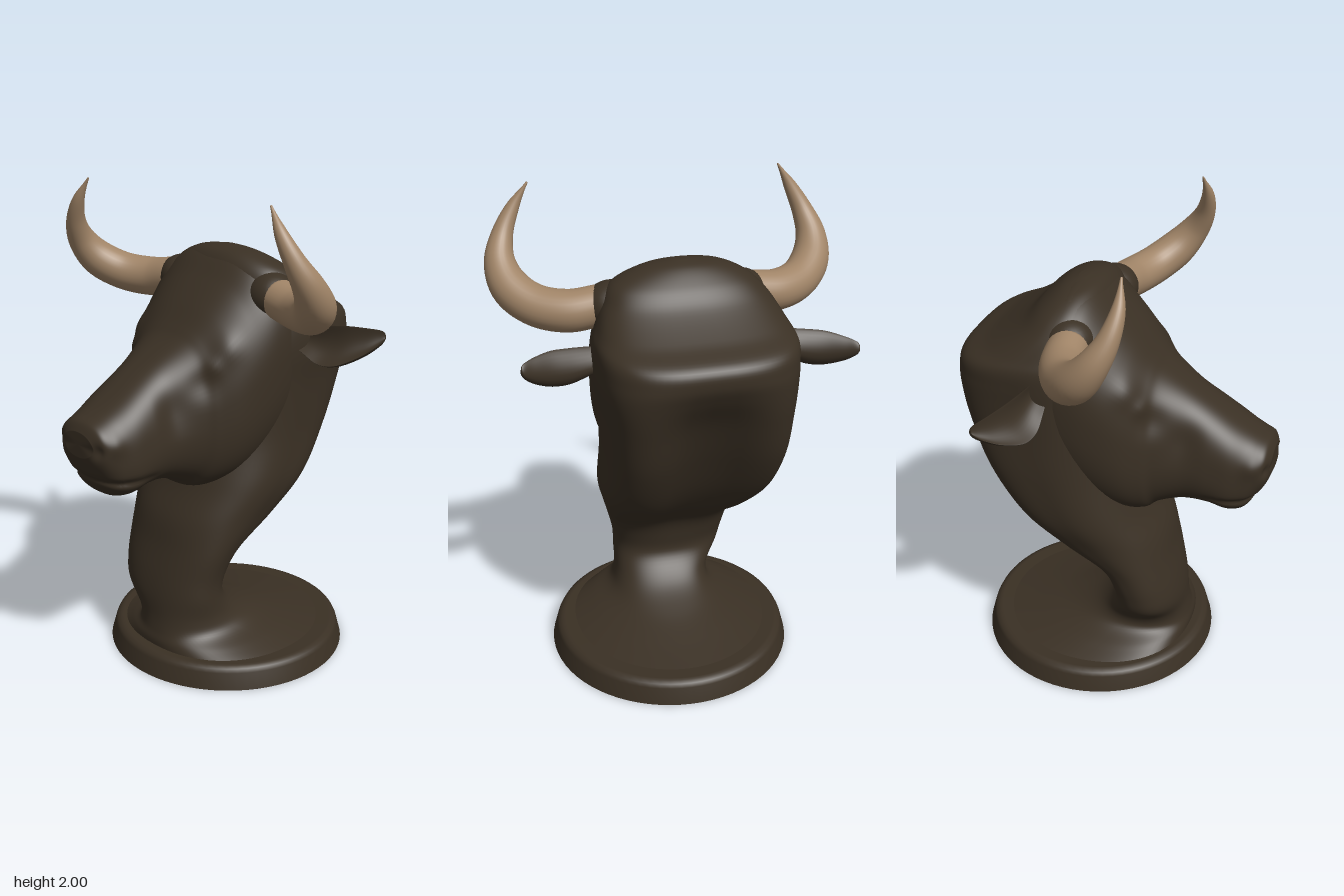
import * as THREE from 'three';

const hide = new THREE.MeshStandardMaterial({ color: 0x3a3024 });
hide.name = 'dark brown hide';
const hornMat = new THREE.MeshStandardMaterial({ color: 0xa08467 });
hornMat.name = 'tan horn';

// Smoothly samples a table of section values at t in 0..1
function sample(table, t) {
  const f = t * (table.length - 1);
  const i = Math.min(Math.floor(f), table.length - 2), u = f - i;
  const row = k => table[Math.max(0, Math.min(table.length - 1, k))];
  return table[i].map((b, k) => {
    const a = row(i - 1)[k], c = row(i + 1)[k], d = row(i + 2)[k];
    return b + 0.5 * u * (c - a + u * (2 * a - 5 * b + 4 * c - d + u * (3 * (b - c) + d - a)));
  });
}

// Skins closed rings point(t, angle) and caps both ends
function loft(rings, sides, point) {
  const pos = [], idx = [];
  for (let i = 0; i <= rings; i++) {
    for (let j = 0; j < sides; j++) pos.push(...point(i / rings, (j / sides) * Math.PI * 2));
  }
  for (let i = 0; i < rings; i++) {
    for (let j = 0; j < sides; j++) {
      const k = (j + 1) % sides, a = i * sides + j, b = i * sides + k;
      idx.push(a, b, a + sides, b, b + sides, a + sides);
    }
  }
  for (const end of [0, rings]) {
    const start = end * sides, centre = pos.length / 3, m = [0, 0, 0];
    for (let j = 0; j < sides; j++) for (let k = 0; k < 3; k++) m[k] += pos[(start + j) * 3 + k] / sides;
    pos.push(...m);
    for (let j = 0; j < sides; j++) {
      const a = start + j, b = start + (j + 1) % sides;
      idx.push(...(end ? [centre, a, b] : [centre, b, a]));
    }
  }
  const g = new THREE.BufferGeometry();
  g.setAttribute('position', new THREE.Float32BufferAttribute(pos, 3));
  g.setIndex(idx);
  g.computeVertexNormals();
  return g;
}

const power = (v, e) => Math.sign(v) * Math.pow(Math.abs(v), e);
const bell = (v, w) => Math.exp(-(v * v) / (w * w));

// Neck levels: y, right x, left x, front z, back z, hollow of the back, back squareness
const NECK = [
  [0.085, -0.43, 0.47, 0.31, -0.59, 0, 1],
  [0.12, -0.31, 0.35, 0.31, -0.40, 0, 1],
  [0.16, -0.21, 0.25, 0.30, -0.24, 0, 1],
  [0.22, -0.20, 0.215, 0.29, -0.10, 0, 0.9],
  [0.31, -0.265, 0.21, 0.285, -0.01, 0, 0.85],
  [0.40, -0.287, 0.215, 0.27, -0.01, 0, 0.8],
  [0.52, -0.305, 0.245, 0.24, -0.07, 0.015, 0.75],
  [0.65, -0.34, 0.285, 0.21, -0.25, 0.06, 0.65],
  [0.80, -0.385, 0.325, 0.15, -0.40, 0.10, 0.58],
  [1.00, -0.40, 0.33, 0.10, -0.525, 0.12, 0.55],
  [1.20, -0.40, 0.345, 0.08, -0.595, 0.09, 0.55],
  [1.33, -0.405, 0.365, 0.06, -0.625, 0.035, 0.6],
  [1.41, -0.41, 0.37, 0.05, -0.632, 0.005, 0.66],
  [1.48, -0.41, 0.365, 0.03, -0.61, 0, 0.7],
  [1.53, -0.39, 0.345, 0.00, -0.50, 0, 0.72],
  [1.61, -0.345, 0.31, -0.02, -0.37, 0, 0.78],
  [1.68, -0.275, 0.265, -0.05, -0.30, 0, 0.85],
  [1.73, -0.17, 0.145, -0.09, -0.235, 0, 0.95],
  [1.75, -0.04, 0.02, -0.145, -0.18, 0, 1],
];

function neckPoint(t, a) {
  const [y, xr, xl, zf, zb, hollow, sq] = sample(NECK, t);
  const c = Math.cos(a), s = Math.sin(a), back = s > 0;
  const n = power(c, back ? sq : 0.9);
  const x = (xr + xl) / 2 + ((xl - xr) / 2) * n;
  let z = (zf + zb) / 2 - ((zf - zb) / 2) * power(s, back ? sq : 0.9);
  if (back) z += hollow * bell(n, 0.5) * s;
  return [x, y, z];
}

// Head sections: z, centre x, upper half width, lower half width, top y, bottom y, squareness
const HEAD = [
  [-0.30, -0.02, 0.34, 0.30, 1.60, 0.95, 0.8],
  [-0.20, -0.02, 0.39, 0.33, 1.735, 0.87, 0.8],
  [-0.10, -0.02, 0.38, 0.345, 1.73, 0.82, 0.8],
  [0.00, -0.02, 0.35, 0.34, 1.635, 0.79, 0.8],
  [0.08, -0.02, 0.31, 0.325, 1.55, 0.785, 0.8],
  [0.15, -0.02, 0.265, 0.285, 1.465, 0.79, 0.8],
  [0.20, -0.02, 0.23, 0.25, 1.415, 0.825, 0.78],
  [0.30, -0.025, 0.18, 0.215, 1.35, 0.86, 0.76],
  [0.40, -0.025, 0.17, 0.21, 1.29, 0.865, 0.76],
  [0.48, -0.025, 0.17, 0.195, 1.24, 0.845, 0.76],
  [0.54, -0.025, 0.16, 0.17, 1.205, 0.855, 0.78],
  [0.58, -0.025, 0.148, 0.15, 1.185, 0.905, 0.8],
  [0.62, -0.025, 0.13, 0.125, 1.165, 0.97, 0.85],
  [0.642, -0.025, 0.085, 0.085, 1.13, 1.03, 0.95],
];

// Face details on the +x side, relative to the head centre: position, radius, push
const FACE = [
  [[0.27, 1.41, 0.11], 0.06, [0.012, 0.004, 0.008]],  // brow
  [[0.25, 1.34, 0.16], 0.035, [0.01, 0, 0.008]],      // eye
  [[0.23, 1.27, 0.20], 0.06, [-0.012, 0, -0.008]],    // hollow below the eye
  [[0.19, 1.18, 0.30], 0.08, [-0.014, 0, 0]],         // cheek hollow
  [[0.095, 1.07, 0.61], 0.026, [0, 0, -0.035]],       // nostril
  [[0.14, 1.09, 0.57], 0.04, [0.008, 0, 0.005]],      // nostril wing
];

function headPoint(t, a) {
  const [z0, cx, top, bot, yt, yb, e] = sample(HEAD, t);
  const s = power(Math.sin(a), e);
  const w = THREE.MathUtils.lerp(bot, top, (s + 1) / 2);
  let x = w * power(Math.cos(a), e), y = (yt + yb) / 2 + ((yt - yb) / 2) * s, z = z0;
  const side = x < 0 ? -1 : 1, p = [Math.abs(x), y, z];
  for (const [c, r, d] of FACE) {
    const k = bell(Math.hypot(p[0] - c[0], p[1] - c[1], p[2] - c[2]), r);
    x += side * d[0] * k;
    y += d[1] * k;
    z += d[2] * k;
  }
  // mouth line
  const mouth = bell(p[1] - 0.928, 0.014) * THREE.MathUtils.smoothstep(p[2], 0.35, 0.45);
  return [cx + x * (1 - 0.06 * mouth), y, z - 0.012 * mouth];
}

// Horn path for the left side, with a radius at each point
const HORN = [
  [0.29, 1.58, -0.125, 0.08], [0.42, 1.56, -0.105, 0.083], [0.54, 1.575, -0.045, 0.081],
  [0.618, 1.63, 0.03, 0.077], [0.642, 1.71, 0.095, 0.061], [0.62, 1.80, 0.145, 0.043],
  [0.57, 1.90, 0.168, 0.026], [0.51, 1.995, 0.16, 0.004],
];

function makeHorn(side) {
  const rings = 48;
  const curve = new THREE.CatmullRomCurve3(HORN.map(p => new THREE.Vector3(side * p[0], p[1], p[2])));
  const frames = curve.computeFrenetFrames(rings);
  return loft(rings, 28, (t, a) => {
    const i = Math.round(t * rings), u = curve.getUtoTmapping(t);
    const r = sample(HORN, u)[3];
    return curve.getPoint(u)
      .addScaledVector(frames.normals[i], r * Math.cos(a))
      .addScaledVector(frames.binormals[i], r * Math.sin(a)).toArray();
  });
}

// Ear stations: reach, height offset, z, half width, thickness
const EAR = [
  [0, 0.01, -0.235, 0.045, 0.05], [0.18, 0.0, -0.24, 0.062, 0.058], [0.4, -0.012, -0.25, 0.082, 0.062],
  [0.62, -0.008, -0.27, 0.084, 0.058], [0.83, 0.01, -0.31, 0.062, 0.042], [0.95, 0.028, -0.342, 0.038, 0.026],
  [0.99, 0.036, -0.354, 0.022, 0.014], [1, 0.038, -0.358, 0.006, 0.004],
];

function makeEar(side, rootX, tipX, rootY, droop) {
  return loft(36, 32, (t, a) => {
    const [reach, dy, z, w, th] = sample(EAR, t);
    const c = Math.cos(a), s = Math.sin(a) * side;
    // cupped section: rims forward, rounded back
    const u = w * c, v = th * (0.6 * c * c - 0.1 + (s > 0 ? 0.1 : 0.9) * s);
    return [
      side * (rootX + (tipX - rootX) * reach),
      rootY + dy - droop * reach + 0.88 * u + 0.47 * v,
      z - 0.47 * u + 0.88 * v,
    ];
  });
}

export function createModel() {
  const model = new THREE.Group();
  const add = (name, geometry, material = hide) => {
    const mesh = new THREE.Mesh(geometry, material);
    mesh.name = name;
    model.add(mesh);
    return mesh;
  };

  // Round plinth with a softened rim
  const rim = [[0, 0], [0.514, 0], [0.515, 0.001], [0.496, 0.07], [0.488, 0.086], [0.472, 0.094], [0.46, 0.095], [0, 0.097]];
  const base = add('base', new THREE.LatheGeometry(rim.map(p => new THREE.Vector2(...p)), 72));
  base.position.set(0.025, 0, -0.125);

  add('neck', loft(120, 80, neckPoint));
  add('head', loft(120, 96, headPoint));

  for (const side of [1, -1]) {
    const name = side > 0 ? 'left' : 'right';
    add(name + 'Horn', makeHorn(side), hornMat);
    // skin swelling around the root of the horn
    const root = add(name + 'HornRoot', new THREE.SphereGeometry(1, 32, 20));
    root.scale.set(0.11, 0.095, 0.1);
    root.position.set(side * 0.255, 1.58, -0.135);
  }
  add('leftEar', makeEar(1, 0.33, 0.65, 1.395, -0.01));
  add('rightEar', makeEar(-1, 0.37, 0.685, 1.39, 0.05));

  return model;
}
